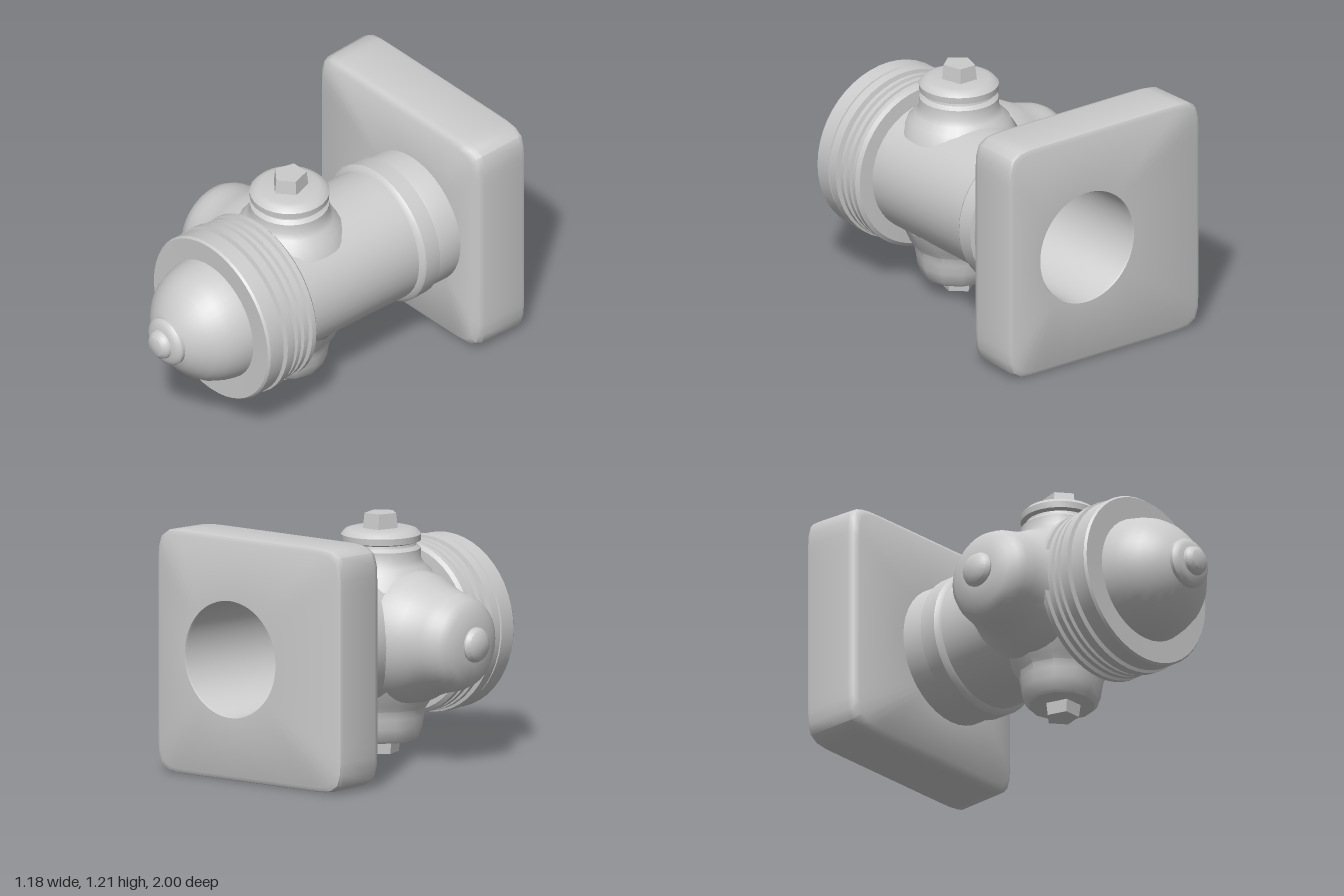
import * as THREE from 'three';
import { toCreasedNormals } from 'three/addons/utils/BufferGeometryUtils.js';

const material = new THREE.MeshStandardMaterial({ color: 0xcccccc });

function part(name, geometry, crease = 0.6) {
  const mesh = new THREE.Mesh(toCreasedNormals(geometry, crease), material);
  mesh.name = name;
  return mesh;
}

// Lathe around y from [radius, height] pairs listed from bottom to top
function turned(name, profile, segments = 40) {
  const pts = profile.map(([r, y]) => new THREE.Vector2(r, y));
  return part(name, new THREE.LatheGeometry(pts, segments));
}

// Skin over rows of points, each row a closed loop
function loft(rows) {
  const n = rows[0].length;
  const index = [];
  for (let i = 0; i < rows.length - 1; i++) {
    for (let j = 0; j < n; j++) {
      const k = (j + 1) % n;
      const a = i * n + j, b = i * n + k, c = b + n, d = a + n;
      index.push(a, b, c, a, c, d);
    }
  }
  const geometry = new THREE.BufferGeometry();
  geometry.setAttribute('position', new THREE.Float32BufferAttribute(rows.flat(2), 3));
  geometry.setIndex(index);
  return geometry;
}

// Loop of points at depth z, radius given by a function of the angle
function loop(cx, cy, z, radius) {
  return Array.from({ length: 96 }, (_, j) => {
    const a = (j / 96) * Math.PI * 2;
    const r = radius(a);
    return [cx + r * Math.cos(a), cy + r * Math.sin(a), z];
  });
}
const circle = (r, z) => loop(0.115, 0.61, z, () => r);
const square = (inset, z) => loop(0, 0.614, z, (a) => {
  const hx = 0.588 - inset, hy = 0.606 - inset, n = 14;
  return (Math.abs(Math.cos(a) / hx) ** n + Math.abs(Math.sin(a) / hy) ** n) ** (-1 / n);
});

// Square base plate, with the bore running up into the barrel
function basePlate() {
  return part('basePlate', loft([
    circle(0.001, 0.1), circle(0.16, 0.07), circle(0.25, -0.02), circle(0.28, -0.15),
    circle(0.285, -0.99), circle(0.29, -1),
    square(0.025, -1), square(0.006, -0.99), square(0, -0.97),
    square(0.005, -0.73), square(0.014, -0.7), square(0.04, -0.68),
    circle(0.31, -0.675),
  ]), 0.7);
}

// Barrel, ribbed flange, bonnet and tip along the main axis
function barrel() {
  const group = new THREE.Group();
  group.name = 'barrel';
  group.add(
    turned('pipe', [
      [0.35, -0.72], [0.347, -0.56], [0.342, -0.545], [0.363, -0.54], [0.365, -0.45],
      [0.355, -0.435], [0.338, -0.425], [0.335, -0.2], [0.337, 0.33],
    ]),
    turned('flange', [
      [0.33, 0.3], [0.41, 0.305], [0.428, 0.32], [0.428, 0.345], [0.408, 0.352],
      [0.408, 0.365], [0.425, 0.37], [0.425, 0.395], [0.405, 0.402], [0.405, 0.41],
      [0.428, 0.418], [0.428, 0.44], [0.405, 0.447], [0.405, 0.458], [0.437, 0.466],
      [0.44, 0.515], [0.415, 0.522], [0.415, 0.53], [0.432, 0.535], [0.434, 0.62],
      [0.425, 0.632], [0.3, 0.63],
    ], 48),
    turned('bonnet', [
      [0.316, 0.61], [0.313, 0.64], [0.3, 0.7], [0.278, 0.76], [0.245, 0.81],
      [0.2, 0.855], [0.155, 0.89], [0.115, 0.91],
    ]),
    turned('tip', [
      [0.11, 0.89], [0.124, 0.905], [0.125, 0.925], [0.115, 0.94], [0.095, 0.95],
      [0.075, 0.955], [0.07, 0.975], [0.05, 0.993], [0, 1],
    ], 28),
  );
  group.rotation.set(Math.PI / 2, 0, 0.02); // lay down, leaning slightly sideways
  group.position.set(0.102, 0.608, 0);
  return group;
}

// Rounded blind outlet on the side
function sideOutlet() {
  const group = new THREE.Group();
  group.name = 'sideOutlet';
  group.add(
    turned('outletBody', [
      [0.33, 0.15], [0.315, 0.22], [0.285, 0.28], [0.262, 0.34], [0.25, 0.39],
      [0.238, 0.44], [0.215, 0.485], [0.175, 0.515], [0.1, 0.535], [0, 0.538],
    ]),
    turned('outletNub', [
      [0.085, 0.52], [0.088, 0.545], [0.075, 0.567], [0.045, 0.582], [0, 0.588],
    ], 20),
  );
  group.rotation.z = Math.PI / 2;
  group.position.set(0, 0.615, 0.09);
  return group;
}

// Five-sided operating nut
function nut(y, height) {
  const mesh = part('nut', new THREE.CylinderGeometry(0.078, 0.088, height, 5));
  mesh.position.y = y;
  mesh.scale.z = 1.12;
  return mesh;
}

// Ringed cap on top, heights measured from the barrel axis
function topCap() {
  const group = new THREE.Group();
  group.name = 'topCap';
  group.add(
    turned('topCapRings', [
      [0.28, 0.25], [0.25, 0.32], [0.215, 0.35], [0.197, 0.38], [0.195, 0.43],
      [0.175, 0.447], [0.172, 0.46], [0.195, 0.468], [0.197, 0.5], [0.175, 0.523],
      [0.15, 0.53], [0, 0.532],
    ], 28),
    nut(0.56, 0.09),
  );
  group.position.set(0.065, 0.605, 0.09);
  return group;
}

// Faceted cap underneath
function bottomCap() {
  const group = new THREE.Group();
  group.name = 'bottomCap';
  group.add(
    turned('bottomCapBody', [
      [0.27, 0.25], [0.235, 0.33], [0.215, 0.36], [0.207, 0.4], [0.2, 0.45],
      [0.18, 0.505], [0.165, 0.522], [0, 0.525],
    ], 12),
    nut(0.547, 0.08),
  );
  group.rotation.x = Math.PI;
  group.position.set(0.065, 0.607, 0.1);
  return group;
}

export function createModel() {
  const model = new THREE.Group();
  model.name = 'hydrant';
  model.add(basePlate(), barrel(), sideOutlet(), topCap(), bottomCap());
  return model;
}
